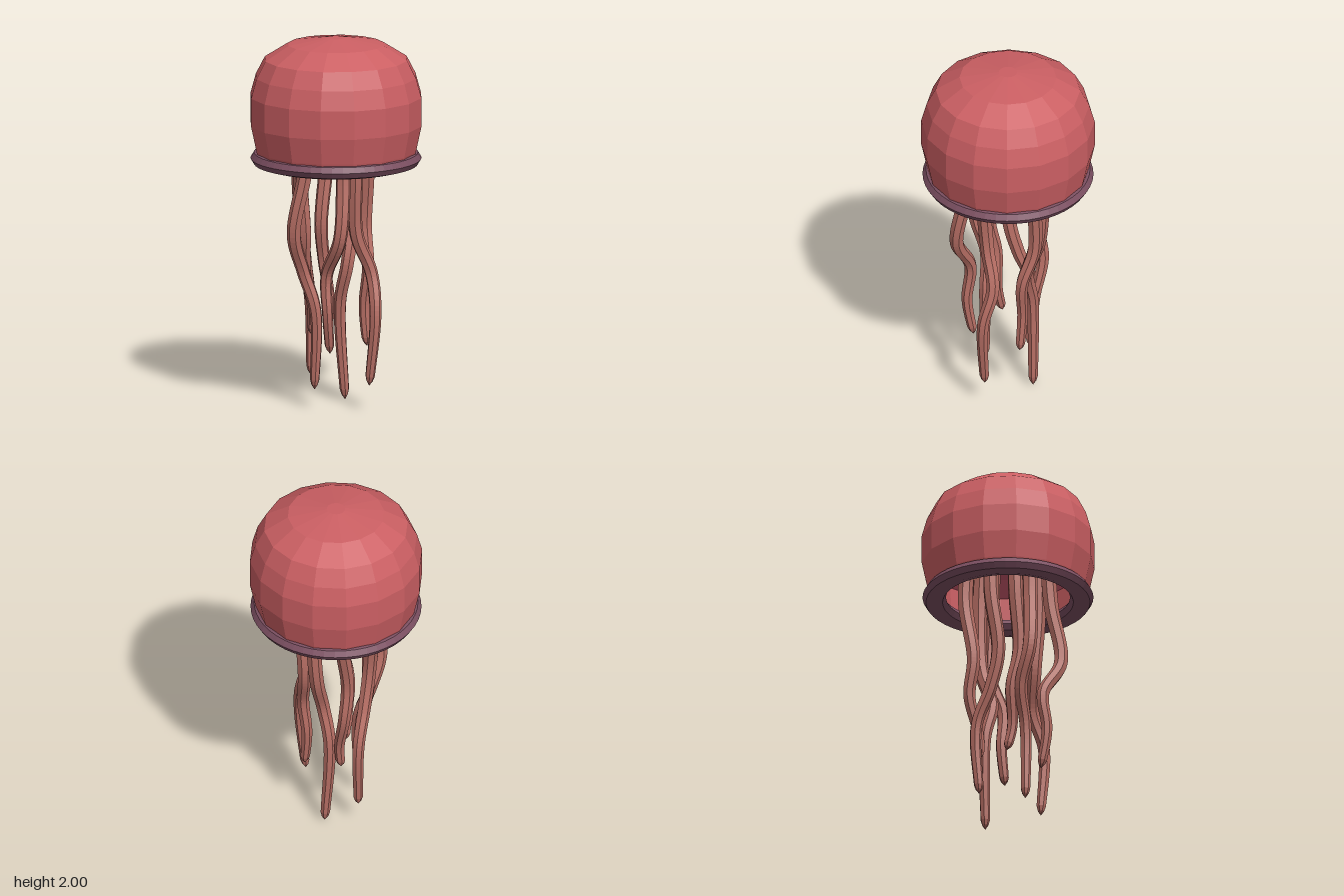
import * as THREE from 'three';

const mat = (name, color, side = THREE.FrontSide) => {
  const m = new THREE.MeshStandardMaterial({ color, flatShading: true, side });
  m.name = name;
  return m;
};

// Heights shared by the bends of every tentacle
const BENDS = [1.3, 0.95, 0.74, 0.53];

// Path from inside the bell through the [x, z] bends down to the tip
function tentacleCurve(tipY, spots) {
  const points = spots.map(([x, z], i) => new THREE.Vector3(x, BENDS[i] ?? tipY, z));
  const root = points[0].clone().multiplyScalar(0.9).setY(1.65);
  return new THREE.CatmullRomCurve3([root, ...points]);
}

// Tapered tube along a curve, closed by a rounded tip
function tentacleGeometry(curve, rings = 60, sides = 7) {
  const geo = new THREE.TubeGeometry(curve, rings, 1, sides, false);
  const pos = geo.attributes.position;
  const v = new THREE.Vector3();
  for (let i = 0; i <= rings; i++) {
    const t = i / rings;
    const centre = curve.getPointAt(t);
    const end = Math.sqrt(Math.min(1, (1 - t) / 0.035));
    const radius = (0.042 - 0.017 * t * t) * end;
    for (let j = 0; j <= sides; j++) {
      const k = i * (sides + 1) + j;
      v.fromBufferAttribute(pos, k).sub(centre).multiplyScalar(radius).add(centre);
      pos.setXYZ(k, v.x, v.y, v.z);
    }
  }
  geo.computeVertexNormals();
  return geo;
}

export function createModel() {
  const model = new THREE.Group();
  model.name = 'jellyfish';
  const bellRed = mat('bell red', 0xcb5f63, THREE.DoubleSide);
  const innerPink = mat('inner pink', 0xc4566a, THREE.DoubleSide);
  const rimPlum = mat('rim plum', 0x7b4f61);
  const tentacleClay = mat('tentacle clay', 0xb66e64);

  const add = (name, geo, material) => {
    const mesh = new THREE.Mesh(geo, material);
    mesh.name = name;
    model.add(mesh);
    return mesh;
  };
  const lathe = (profile) =>
    new THREE.LatheGeometry(profile.map(([r, y]) => new THREE.Vector2(r, y)), 16);

  // Faceted bell, from rim to crown
  add('bell', lathe([
    [0.42, 1.34], [0.435, 1.39], [0.465, 1.53], [0.465, 1.685],
    [0.436, 1.79], [0.387, 1.885], [0.26, 1.965], [0.05, 2.0], [0, 2.0],
  ]), bellRed);

  // Hollow underside of the bell: red wall and pink ceiling
  add('innerWall', lathe([[0.39, 1.34], [0.4, 1.52]]), bellRed);
  add('innerCeiling', lathe([[0.4, 1.52], [0.33, 1.6], [0.18, 1.66], [0, 1.68]]), innerPink);

  // Flattened rim ring
  const rim = add('rim', new THREE.TorusGeometry(0.395, 0.063, 8, 48).rotateX(Math.PI / 2), rimPlum);
  rim.scale.y = 0.68;
  rim.position.y = 1.345;

  // Eight wavy tentacles, in order around the bell
  const tentacle = (name, tipY, ...spots) =>
    add(name, tentacleGeometry(tentacleCurve(tipY, spots)), tentacleClay);
  tentacle('leftTentacle', 0.31, [0.19, -0.07], [0.18, -0.08], [0.18, -0.01], [0.16, -0.02], [0.17, 0]);
  tentacle('frontLeftTentacle', 0.13, [0.07, 0.17], [0.08, 0.15], [0.16, 0.15], [0.17, 0.21], [0.14, 0.19]);
  tentacle('frontTentacle', 0.31, [-0.01, 0.23], [-0.04, 0.28], [-0.09, 0.18], [-0.09, 0.2], [-0.07, 0.17]);
  tentacle('frontRightTentacle', 0.1, [-0.19, 0.1], [-0.25, 0.09], [-0.19, 0.05], [-0.13, 0.08], [-0.135, 0.08]);
  tentacle('rightTentacle', 0.38, [-0.2, 0.02], [-0.18, 0.04], [-0.17, 0], [-0.13, 0.01], [-0.13, -0.02]);
  tentacle('backRightTentacle', 0.13, [-0.18, -0.11], [-0.17, -0.07], [-0.14, -0.11], [-0.1, -0.18], [-0.1, -0.165]);
  tentacle('backTentacle', 0.38, [0, -0.23], [-0.04, -0.19], [-0.02, -0.21], [0, -0.16], [-0.01, -0.15]);
  tentacle('backLeftTentacle', 0, [0.14, -0.14], [0.12, -0.13], [0.08, -0.08], [0.05, -0.12], [0.075, -0.115]);

  return model;
}
